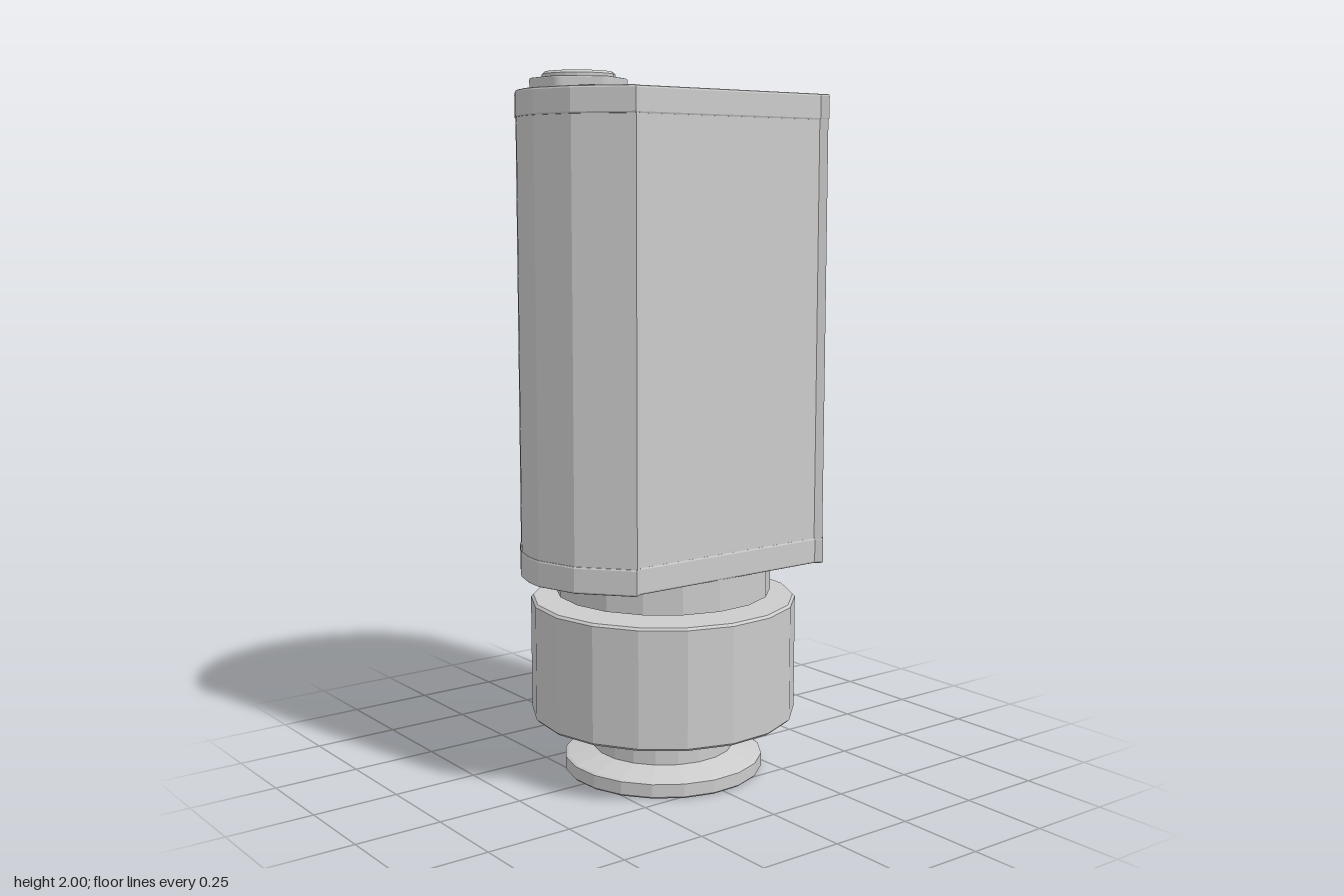
import * as THREE from 'three';

const grey = new THREE.MeshStandardMaterial({ color: 0xcccccc, flatShading: true });
const SCREW = { x: 0.423, z: 0.022, r: 0.027 };

// Right half of the housing outline as [x, z], from the back to the lip at the front corner
const HALF = [
  [0.05, -0.32], [0.12, -0.311], [0.21, -0.284], [0.3, -0.238], [0.39, -0.155],
  [0.453, -0.05], [0.474, 0.02], [0.478, 0.075], [0.442, 0.195], [0.33, 0.325], [0.31, 0.312],
];

function mesh(name, geometry, x = 0, y = 0, z = 0) {
  const m = new THREE.Mesh(geometry, grey);
  m.name = name;
  m.position.set(x, y, z);
  return m;
}

// Turned part from [radius, y] points, listed so the outside runs upwards
function turned(name, points, sides, start = -7) {
  const profile = points.map(([r, y]) => new THREE.Vector2(r, y));
  return mesh(name, new THREE.LatheGeometry(profile, sides, THREE.MathUtils.degToRad(start)));
}

function housingShape(scale = 1, withHoles = false) {
  const mirrored = HALF.map(([x, z]) => [-x, z]).reverse();
  const shape = new THREE.Shape([...HALF, ...mirrored].map(([x, z]) => new THREE.Vector2(x * scale, -z * scale)));
  if (withHoles) {
    for (const s of [-1, 1]) {
      const hole = new THREE.Path();
      hole.absarc(s * SCREW.x, -SCREW.z, SCREW.r, 0, Math.PI * 2, true);
      shape.holes.push(hole);
    }
  }
  return shape;
}

// Upright extrusion between two heights, with an inset bevel
function upright(name, shape, y0, y1, bevel = 0) {
  const geometry = new THREE.ExtrudeGeometry(shape, {
    depth: y1 - y0 - 2 * bevel, curveSegments: 10, bevelEnabled: bevel > 0,
    bevelSize: bevel, bevelThickness: bevel, bevelOffset: -bevel, bevelSegments: 2,
  });
  geometry.rotateX(-Math.PI / 2);
  return mesh(name, geometry, 0, y0 + bevel, 0);
}

export function createModel() {
  const model = new THREE.Group();
  model.name = 'gauge';

  // Housing with an end cap above and below
  model.add(upright('housing', housingShape(0.994), 0.69, 1.875));
  model.add(upright('bottomCap', housingShape(1, true), 0.62, 0.695, 0.006));
  model.add(upright('topCap', housingShape(1, true), 1.87, 1.942, 0.006));

  // Cap screws, slightly sunk in their holes
  for (const s of [-1, 1]) {
    for (const [name, y] of [['topScrew', 1.905], ['bottomScrew', 0.657]]) {
      model.add(mesh(name, new THREE.CylinderGeometry(0.028, 0.028, 0.06, 20), s * SCREW.x, y, SCREW.z));
    }
  }

  // Hex nut with rounded corners, and the connector button in it
  const connector = new THREE.Group();
  connector.name = 'connector';
  connector.position.set(-0.224, 0, -0.088);
  const hex = new THREE.Shape();
  for (let i = 0; i < 6; i++) {
    const corner = (a) => [Math.cos(a) * 0.14, Math.sin(a) * 0.14];
    const a = Math.PI / 6 + (i * Math.PI) / 3;
    const [px, py] = corner(a - Math.PI / 3), [cx, cy] = corner(a), [nx, ny] = corner(a + Math.PI / 3);
    const t = 0.14;
    const from = [cx + (px - cx) * t, cy + (py - cy) * t];
    if (i) hex.lineTo(...from); else hex.moveTo(...from);
    hex.quadraticCurveTo(cx, cy, cx + (nx - cx) * t, cy + (ny - cy) * t);
  }
  hex.closePath();
  connector.add(upright('hexNut', hex, 1.938, 1.983, 0.004));
  connector.add(turned('connectorButton', [[0.101, 1.975], [0.101, 1.993], [0.094, 2], [0, 2]], 20, 0));
  model.add(connector);

  // Small indicator beside the nut
  model.add(mesh('indicator', new THREE.CylinderGeometry(0.023, 0.023, 0.02, 16), -0.312, 1.944, 0.083));

  // Neck under the housing
  model.add(turned('neck', [[0, 0.532], [0.312, 0.532], [0.312, 0.625], [0, 0.625]], 18));
  model.add(turned('neckGap', [[0.215, 0.5], [0.215, 0.54]], 18));

  // Wide collar
  model.add(turned('collar', [
    [0, 0.17], [0.378, 0.17], [0.385, 0.177], [0.385, 0.508], [0.378, 0.515], [0, 0.515],
  ], 18));

  // Hollow stem with the flange at its foot
  model.add(turned('flange', [
    [0, 0.45], [0.15, 0.45], [0.15, 0.03], [0.19, 0.03], [0.19, 0], [0.285, 0], [0.29, 0.005],
    [0.29, 0.042], [0.283, 0.046], [0.205, 0.068], [0.205, 0.155], [0.215, 0.155], [0.215, 0.172],
  ], 20));

  return model;
}
